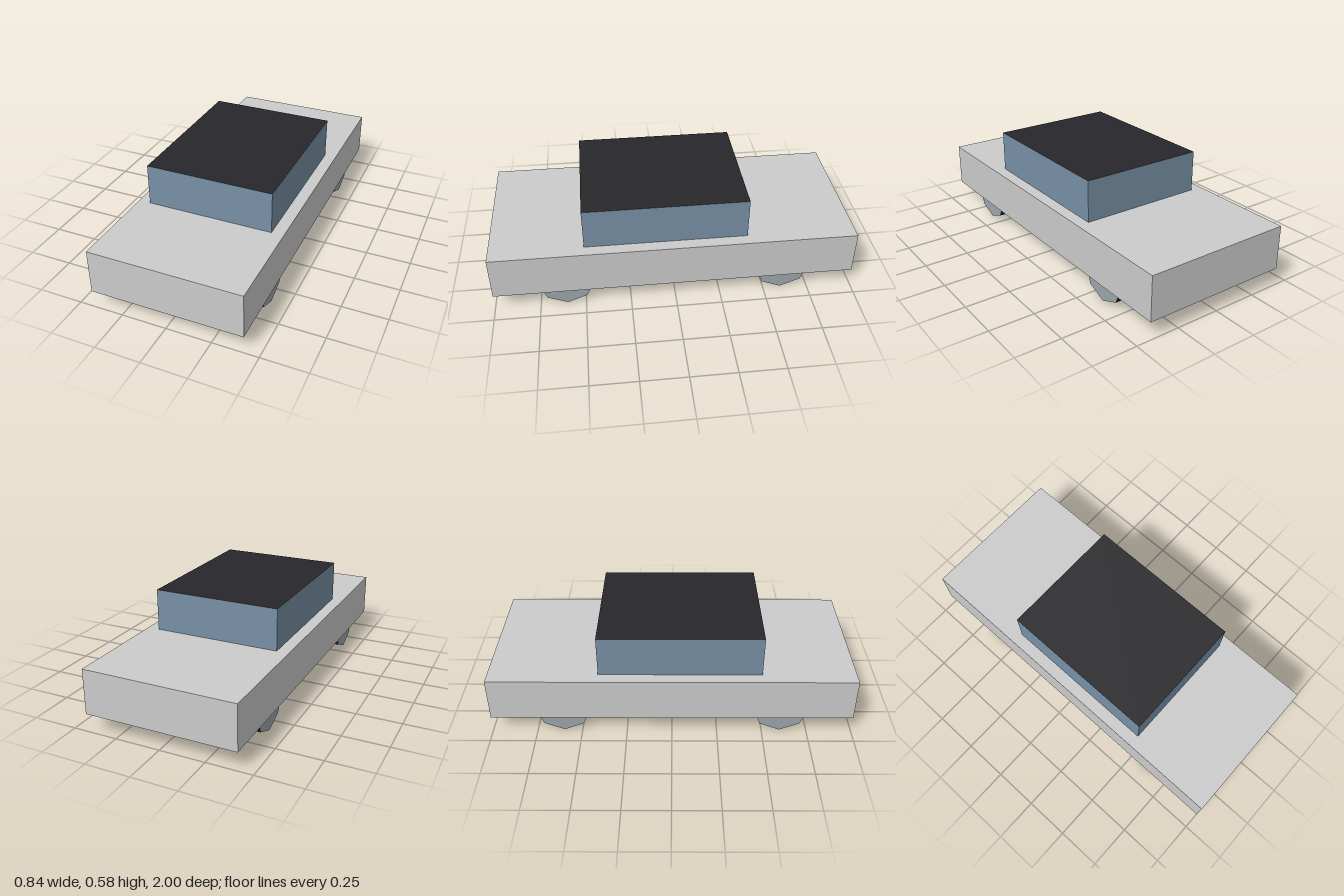
import * as THREE from 'three';

const paint = (color) => new THREE.MeshStandardMaterial({ color, flatShading: true });

export function createModel() {
  const car = new THREE.Group();
  car.name = 'car';

  const bodyGrey = paint(0xcccccc);
  const glass = paint(0x7790a5);
  const roofBlack = paint(0x28282c);
  const tyre = paint(0x222224);
  const hub = paint(0x9ca6ad);

  const add = (name, geometry, material, x, y, z) => {
    const mesh = new THREE.Mesh(geometry, material);
    mesh.name = name;
    mesh.position.set(x, y, z);
    car.add(mesh);
  };

  // Slab body
  add('body', new THREE.BoxGeometry(0.842, 0.248, 2), bodyGrey, 0, 0.223, 0);

  // Glazed cabin whose top face is the dark roof
  add('cabin', new THREE.BoxGeometry(0.708, 0.231, 0.89),
    [glass, glass, roofBlack, glass, glass, glass], 0, 0.4625, 0.045);

  // Eight-sided wheels, tucked up into the body
  const radius = 0.155;
  const wheel = new THREE.CylinderGeometry(radius, radius, 0.116, 8).rotateZ(Math.PI / 2);
  for (const [end, z] of [['front', 0.6], ['rear', -0.6]]) {
    for (const [side, x] of [['Left', 0.347], ['Right', -0.347]]) {
      add(`${end}${side}Wheel`, wheel, [tyre, hub, hub], x, radius, z);
    }
  }

  return car;
}
